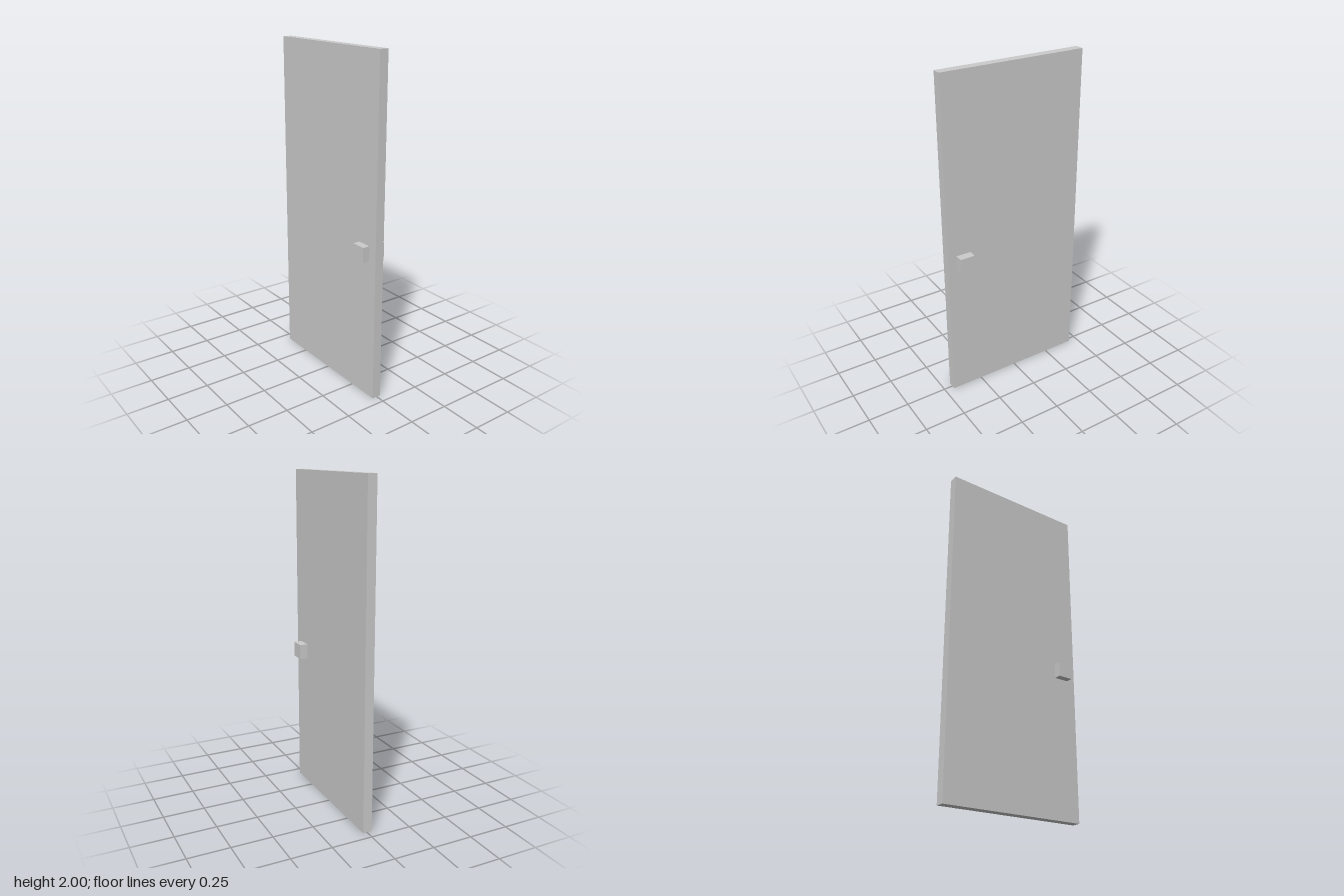
import * as THREE from 'three';

export function createModel() {
  const model = new THREE.Group();
  model.name = 'door';
  const material = new THREE.MeshStandardMaterial({ color: 0xcccccc, flatShading: true });

  function addBox(name, size, position) {
    const mesh = new THREE.Mesh(new THREE.BoxGeometry(...size), material);
    mesh.name = name;
    mesh.position.set(...position);
    model.add(mesh);
  }

  // Slab, set slightly towards the right side
  addBox('doorPanel', [0.055, 2, 0.888], [-0.0035, 1, 0]);

  // Square handle passing through the slab and standing out on both faces
  addBox('handle', [0.148, 0.09, 0.09], [0, 0.892, 0.344]);

  return model;
}
